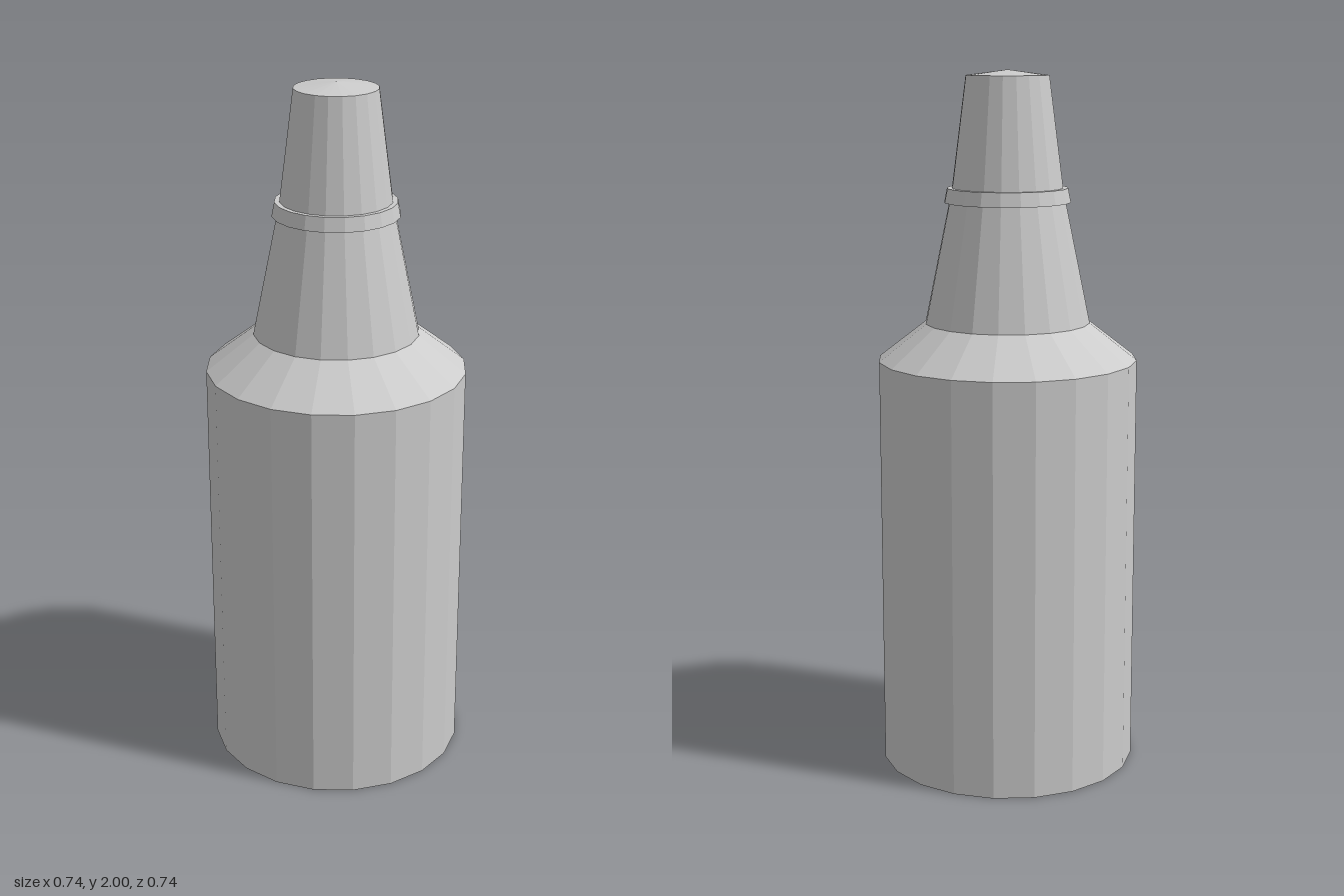
import * as THREE from 'three';

const SIDES = 20;

export function createModel() {
  const group = new THREE.Group();
  group.name = 'bottle';
  const material = new THREE.MeshStandardMaterial({ color: 0xcccccc, flatShading: true });

  // Turned part from a [radius, height] profile, listed bottom to top on the outside
  const turn = (name, profile) => {
    const points = profile.map(([r, y]) => new THREE.Vector2(r, y));
    const mesh = new THREE.Mesh(new THREE.LatheGeometry(points, SIDES), material);
    mesh.name = name;
    group.add(mesh);
  };

  // Straight container with a flat base and sloping shoulder
  turn('body', [[0, 0], [0.37, 0], [0.37, 1.19], [0.235, 1.295]]);

  // Tapered neck
  turn('neck', [[0.235, 1.295], [0.165, 1.635]]);

  // Thin collar overhanging the neck, with a narrow ledge on top
  turn('collar', [[0.165, 1.635], [0.179, 1.635], [0.171, 1.675], [0.157, 1.675]]);

  // Tapered cap with a very shallow domed top
  turn('cap', [[0.157, 1.675], [0.117, 1.985], [0, 2]]);

  return group;
}
